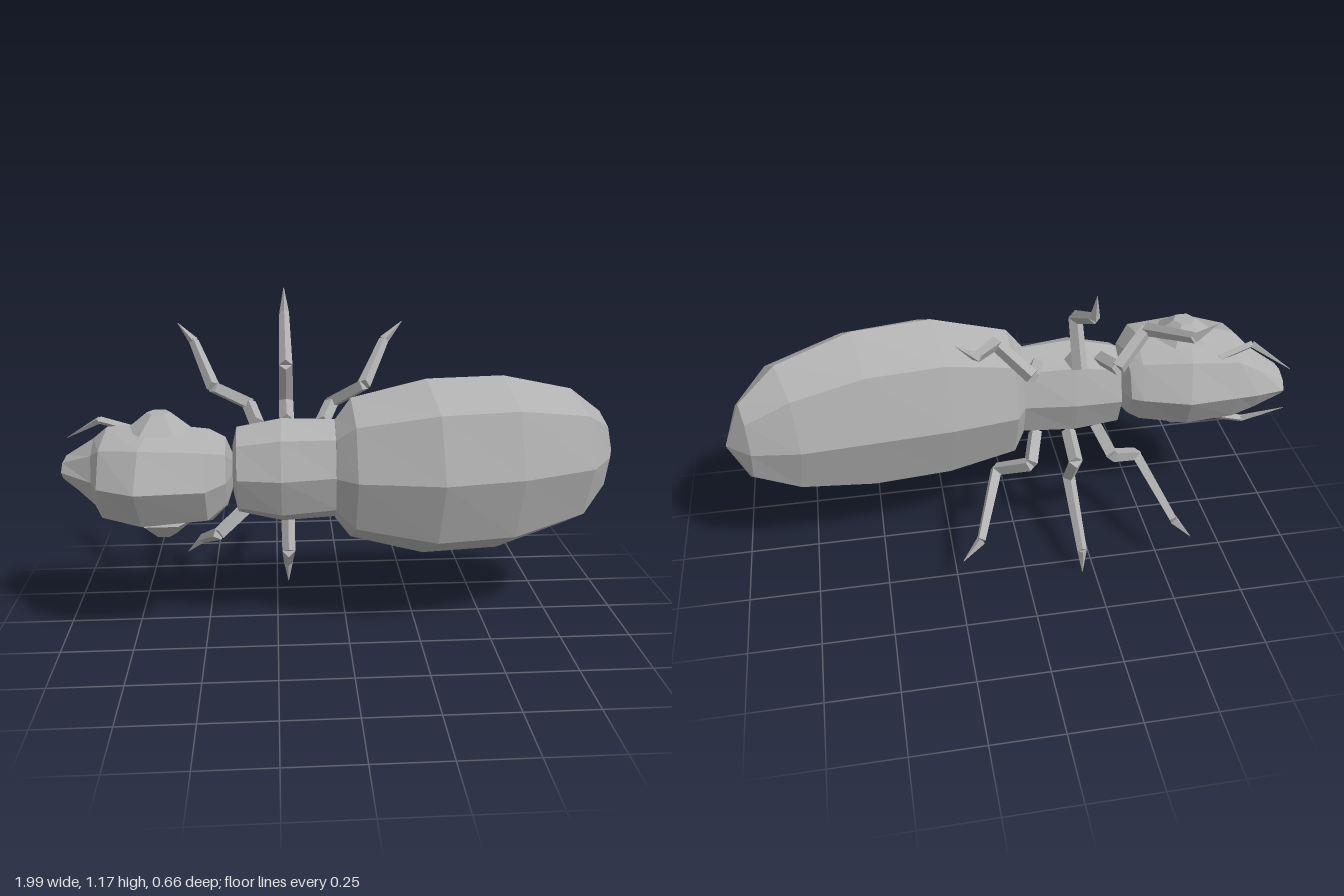
import * as THREE from 'three';

const MID = 0.585; // height of the body's plane of symmetry
const SIDES = 8;

// Lofts octagonal rings: [front x, front z, back x, back z, half width], listed from -x to +x
function loft(rings) {
  const pos = [];
  const point = ([fx, fz, bx, bz, w], j) => {
    const a = (j / SIDES) * Math.PI * 2;
    const t = (1 - Math.cos(a)) / 2;
    return [fx + (bx - fx) * t, MID + Math.sin(a) * w, fz + (bz - fz) * t];
  };
  const centre = ([fx, fz, bx, bz]) => [(fx + bx) / 2, MID, (fz + bz) / 2];
  const tri = (a, b, c) => pos.push(...a, ...b, ...c);
  const first = rings[0], last = rings[rings.length - 1];
  for (let j = 0; j < SIDES; j++) {
    for (let i = 0; i < rings.length - 1; i++) {
      const a = point(rings[i], j), b = point(rings[i], j + 1);
      const c = point(rings[i + 1], j), d = point(rings[i + 1], j + 1);
      tri(a, c, b);
      tri(b, c, d);
    }
    tri(centre(first), point(first, j), point(first, j + 1));
    tri(centre(last), point(last, j + 1), point(last, j));
  }
  const g = new THREE.BufferGeometry();
  g.setAttribute('position', new THREE.Float32BufferAttribute(pos, 3));
  g.computeVertexNormals();
  return g;
}

export function createModel() {
  const model = new THREE.Group();
  model.name = 'ant';
  const grey = new THREE.MeshStandardMaterial({ color: 0xb0b0b0, flatShading: true });
  grey.name = 'grey';

  function add(parent, name, geometry) {
    const mesh = new THREE.Mesh(geometry, grey);
    mesh.name = name;
    parent.add(mesh);
    return mesh;
  }

  // Jointed limb: four-sided tapering segments through the points [x, y offset, z]
  function limb(name, points, radii, side) {
    const group = new THREE.Group();
    group.name = name;
    const p = points.map(([x, y, z]) => new THREE.Vector3(x, MID + side * y, z));
    for (let i = 0; i < p.length - 1; i++) {
      const dir = p[i + 1].clone().sub(p[i]);
      const g = new THREE.CylinderGeometry(radii[i + 1], radii[i], dir.length(), 4);
      const m = add(group, 'segment', g);
      m.position.copy(p[i]).add(p[i + 1]).multiplyScalar(0.5);
      m.quaternion.setFromUnitVectors(new THREE.Vector3(0, 1, 0), dir.normalize());
    }
    model.add(group);
  }

  // Body: its back faces +z, its belly -z
  add(model, 'head', loft([
    [-0.99, 0.05, -0.975, -0.11, 0.04],
    [-0.87, 0.17, -0.88, -0.125, 0.115],
    [-0.84, 0.25, -0.8, -0.13, 0.165],
    [-0.71, 0.325, -0.62, -0.14, 0.185],
    [-0.48, 0.305, -0.46, -0.09, 0.165],
    [-0.415, 0.21, -0.42, -0.07, 0.125],
    [-0.39, 0.09, -0.39, 0, 0.045],
  ]));
  add(model, 'thorax', loft([
    [-0.395, 0.12, -0.395, -0.02, 0.09],
    [-0.38, 0.185, -0.38, -0.08, 0.155],
    [-0.23, 0.215, -0.22, -0.08, 0.187],
    [-0.03, 0.18, -0.03, -0.06, 0.178],
  ]));
  add(model, 'abdomen', loft([
    [-0.04, 0.19, -0.04, -0.05, 0.18],
    [0.03, 0.25, 0, -0.12, 0.255],
    [0.32, 0.3, 0.23, -0.153, 0.32],
    [0.6, 0.25, 0.5, -0.173, 0.32],
    [0.87, 0.14, 0.75, -0.19, 0.255],
    [0.965, 0, 0.915, -0.17, 0.155],
    [1, -0.098, 1, -0.102, 0.004],
  ]));

  // Leg paths on one side: hip, joint, knee, ankle, tip
  const legs = {
    frontLeg: [[-0.31, 0.15, -0.01], [-0.34, 0.19, -0.14], [-0.46, 0.275, -0.045], [-0.54, 0.39, -0.3], [-0.6, 0.455, -0.33]],
    middleLeg: [[-0.205, 0.16, -0.01], [-0.205, 0.2, -0.14], [-0.205, 0.35, -0.045], [-0.205, 0.495, -0.295], [-0.205, 0.585, -0.315]],
    rearLeg: [[-0.08, 0.15, -0.01], [-0.04, 0.19, -0.14], [0.07, 0.275, -0.045], [0.165, 0.39, -0.29], [0.235, 0.455, -0.32]],
  };
  for (const side of [1, -1]) {
    const label = side > 0 ? 'Upper' : 'Lower';
    for (const [name, path] of Object.entries(legs)) {
      limb(name + label, path, [0.026, 0.026, 0.024, 0.018, 0.001], side);
    }

    // Antennae
    limb('antenna' + label, [[-0.74, 0.125, -0.045], [-0.86, 0.165, -0.035], [-0.99, 0.085, -0.1]],
      [0.014, 0.014, 0.001], side);

    // Six-sided domed eyes
    const eye = add(model, 'eye' + label, new THREE.CylinderGeometry(0.04, 0.115, 0.06, 6));
    eye.position.set(-0.64, MID + side * 0.19, 0.085);
    eye.rotation.set(side > 0 ? 0 : Math.PI, Math.PI / 6, 0);
  }
  return model;
}
